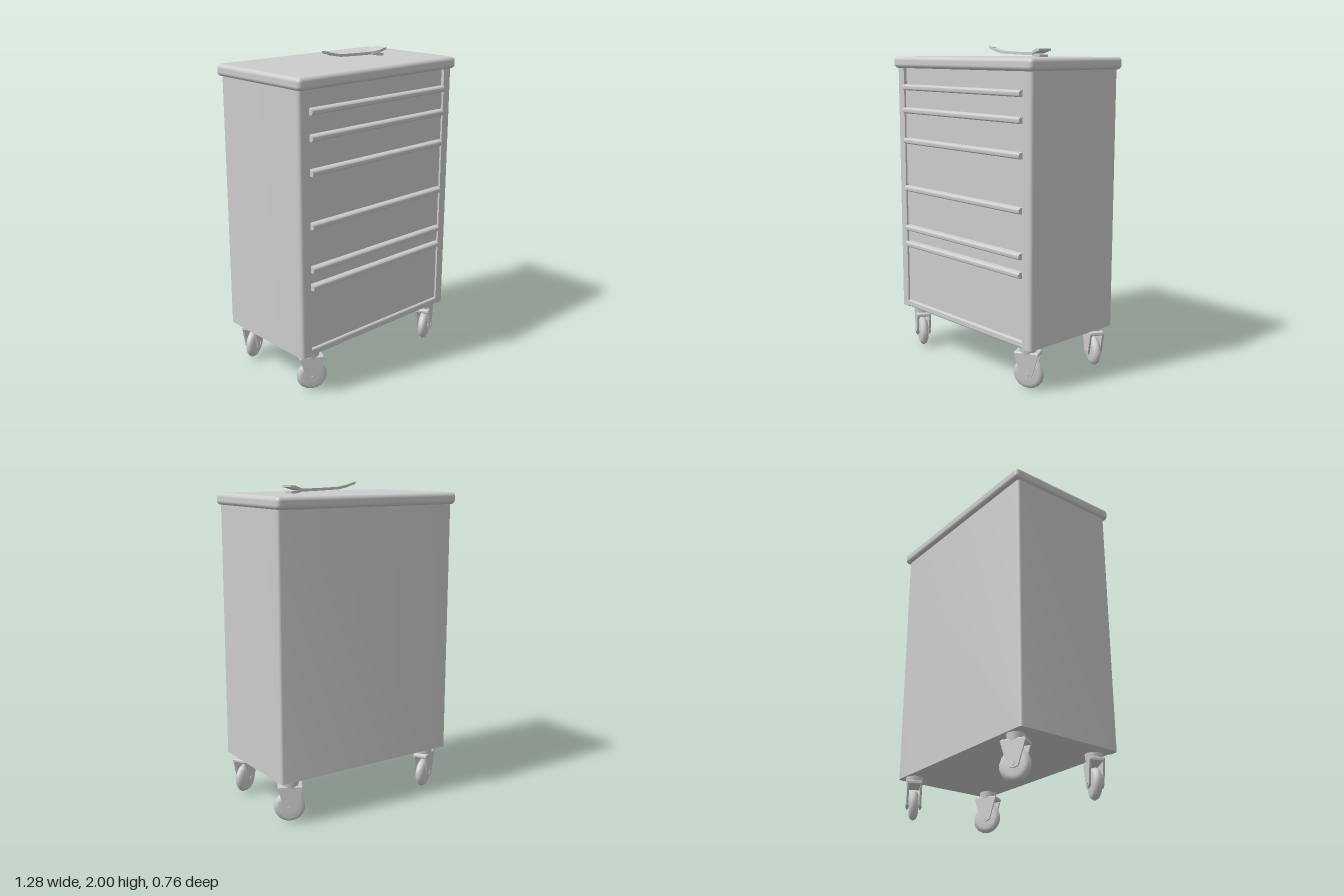
import * as THREE from 'three';
import { toCreasedNormals } from 'three/addons/utils/BufferGeometryUtils.js';
import { RoundedBoxGeometry } from 'three/addons/geometries/RoundedBoxGeometry.js';

const steel = new THREE.MeshStandardMaterial({ color: 0xcccccc });
steel.name = 'light grey steel';

function add(parent, name, geometry, x = 0, y = 0, z = 0) {
  const mesh = new THREE.Mesh(geometry, steel);
  mesh.name = name;
  mesh.position.set(x, y, z);
  parent.add(mesh);
  return mesh;
}

// Extrude a shape without bevel, keeping sharp corners and smooth curves
function extrude(shape, depth) {
  const g = new THREE.ExtrudeGeometry(shape, { depth, bevelEnabled: false, curveSegments: 5 });
  return toCreasedNormals(g, 0.6);
}

// Loft rectangular sections [x, y, halfHeight, halfWidth] along x
function loft(sections) {
  const pos = [], idx = [];
  for (const [x, y, h, w] of sections)
    pos.push(x, y - h, -w, x, y - h, w, x, y + h, w, x, y + h, -w);
  const last = (sections.length - 1) * 4;
  for (let s = 0; s < last; s += 4)
    for (let k = 0; k < 4; k++) {
      const a = s + k, b = s + (k + 1) % 4;
      idx.push(a, a + 4, b, b, a + 4, b + 4);
    }
  idx.push(0, 1, 2, 0, 2, 3, last, last + 2, last + 1, last, last + 3, last + 2);
  const g = new THREE.BufferGeometry();
  g.setAttribute('position', new THREE.Float32BufferAttribute(pos, 3));
  g.setIndex(idx);
  return toCreasedNormals(g, 0.7);
}

// Cabinet plan: rounded corners and a shallow recess for the drawers
function cabinetPlan() {
  const X = 0.625, F = -0.36, B = 0.355, r = 0.025, inner = 0.555, back = F + 0.022;
  const s = new THREE.Shape();
  s.moveTo(inner, back);
  s.lineTo(inner, F);
  s.lineTo(X - r, F);
  s.quadraticCurveTo(X, F, X, F + r);
  s.lineTo(X, B - r);
  s.quadraticCurveTo(X, B, X - r, B);
  s.lineTo(-X + r, B);
  s.quadraticCurveTo(-X, B, -X, B - r);
  s.lineTo(-X, F + r);
  s.quadraticCurveTo(-X, F, -X + r, F);
  s.lineTo(-inner, F);
  s.lineTo(-inner, back);
  s.closePath();
  return s;
}

// Swivel caster, standing on y = 0
function caster(angle) {
  const g = new THREE.Group();
  add(g, 'stem', new THREE.CylinderGeometry(0.055, 0.05, 0.05, 12), 0, 0.248, 0);
  add(g, 'forkCrown', new RoundedBoxGeometry(0.15, 0.025, 0.092, 2, 0.008), 0, 0.222, 0);

  const cheek = new THREE.Shape();
  cheek.moveTo(-0.075, 0.225);
  cheek.lineTo(-0.03, 0.08);
  cheek.quadraticCurveTo(0.01, 0.055, 0.035, 0.085);
  cheek.lineTo(0.075, 0.225);
  cheek.closePath();
  for (const z of [-0.046, 0.034]) add(g, 'forkCheek', extrude(cheek, 0.012), 0, 0, z);

  const profile = [[0, -0.026], [0.065, -0.028], [0.085, -0.018], [0.095, 0],
    [0.085, 0.018], [0.065, 0.028], [0, 0.026]].map(([r, y]) => new THREE.Vector2(r, y));
  const wheel = add(g, 'wheel', new THREE.LatheGeometry(profile, 18), 0.005, 0.095, 0);
  wheel.rotation.x = Math.PI / 2;
  const axle = add(g, 'axle', new THREE.CylinderGeometry(0.016, 0.016, 0.1, 10), 0.005, 0.095, 0);
  axle.rotation.x = Math.PI / 2;
  g.rotation.y = angle;
  return g;
}

// Bent spanner lying on the lid
function spanner() {
  const g = new THREE.Group();
  g.name = 'spanner';
  add(g, 'spannerShaft', loft([
    [-0.115, 1.988, 0.005, 0.013], [-0.06, 1.972, 0.008, 0.018], [0.0, 1.96, 0.008, 0.017],
    [0.15, 1.954, 0.008, 0.014], [0.28, 1.952, 0.009, 0.016]]), 0, 0, -0.006);
  add(g, 'spannerTip', loft([
    [-0.137, 1.995, 0.003, 0.003], [-0.112, 1.987, 0.008, 0.018], [-0.09, 1.981, 0.007, 0.016]]), 0, 0, -0.006);
  add(g, 'upperJaw', loft([
    [0.265, 1.954, 0.008, 0.015], [0.305, 1.963, 0.009, 0.045],
    [0.33, 1.971, 0.009, 0.05], [0.362, 1.977, 0.006, 0.05]]), 0, 0, -0.004);
  add(g, 'lowerJaw', loft([
    [0.265, 1.95, 0.008, 0.015], [0.305, 1.944, 0.009, 0.03],
    [0.35, 1.94, 0.007, 0.036]]), 0, 0, -0.004);
  return g;
}

export function createModel() {
  const model = new THREE.Group();
  model.name = 'toolCabinet';

  // Carcass and lid
  const body = extrude(cabinetPlan(), 1.6);
  body.rotateX(-Math.PI / 2);
  add(model, 'cabinetBody', body, 0, 0.268, 0);
  add(model, 'bottomRail', new RoundedBoxGeometry(1.14, 0.045, 0.05, 3, 0.012), 0, 0.2905, 0.335);
  add(model, 'lid', new RoundedBoxGeometry(1.285, 0.073, 0.765, 5, 0.026), 0, 1.8965, 0);

  // Drawers: a flat front under a rounded full-width pull
  const pulls = [1.738, 1.59, 1.393, 1.08, 0.815, 0.705];
  const lip = new THREE.Shape();
  lip.moveTo(0.335, -0.018);
  lip.lineTo(0.366, -0.018);
  lip.quadraticCurveTo(0.38, -0.014, 0.38, 0);
  lip.quadraticCurveTo(0.378, 0.017, 0.362, 0.019);
  lip.lineTo(0.335, 0.019);
  lip.closePath();
  const lipGeometry = extrude(lip, 1.09);
  lipGeometry.rotateY(-Math.PI / 2); // profile x becomes z, length runs to -x
  pulls.forEach((y, i) => {
    const top = y + 0.016;
    const bottom = i + 1 < pulls.length ? pulls[i + 1] + 0.024 : 0.318;
    const drawer = new THREE.Group();
    drawer.name = 'drawer' + (i + 1);
    add(drawer, 'drawerFront', new THREE.BoxGeometry(1.1, top - bottom, 0.03), 0, (top + bottom) / 2, 0.336);
    add(drawer, 'drawerPull', lipGeometry, 0.543, y, 0);
    model.add(drawer);
  });

  // Four casters, swivelled a little
  for (const [x, z, a, name] of [
    [0.53, 0.285, 0.5, 'frontLeftCaster'], [-0.5, 0.285, -0.5, 'frontRightCaster'],
    [0.53, -0.29, -0.5, 'backLeftCaster'], [-0.5, -0.29, 0.5, 'backRightCaster']]) {
    const c = caster(a);
    c.name = name;
    c.position.set(x, 0, z);
    model.add(c);
  }

  model.add(spanner());
  return model;
}
